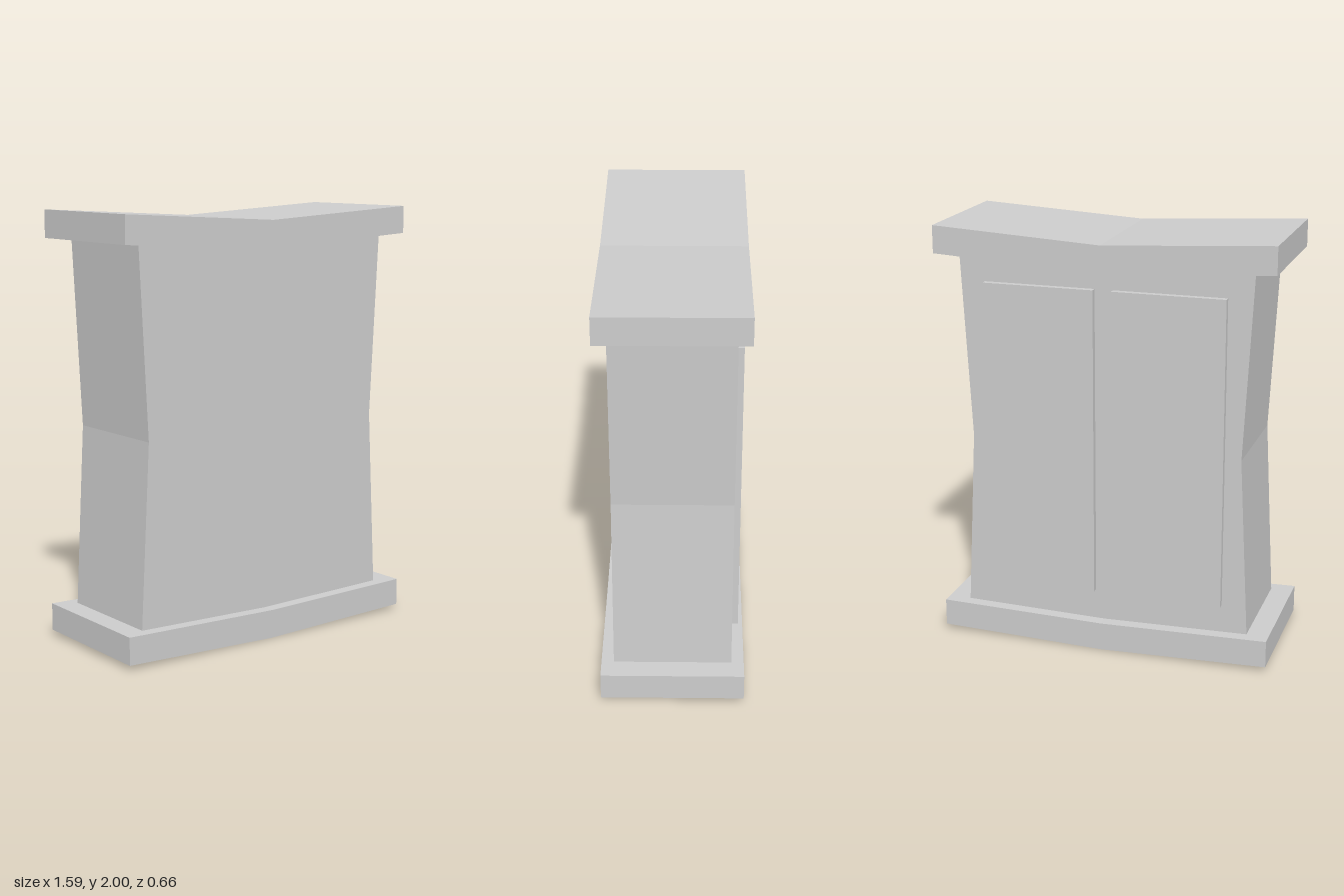
import * as THREE from 'three';

const material = new THREE.MeshStandardMaterial({ color: 0xcccccc, flatShading: true });

// Extrudes an outline of [x, y] points, centred on z = 0
function slab(name, points, depth) {
  const shape = new THREE.Shape(points.map(([x, y]) => new THREE.Vector2(x, y)));
  const geometry = new THREE.ExtrudeGeometry(shape, { depth, bevelEnabled: false });
  geometry.translate(0, 0, -depth / 2);
  const mesh = new THREE.Mesh(geometry, material);
  mesh.name = name;
  return mesh;
}

// Board bent down at its middle: heights at the ends and at the centre
function bentBoard(name, halfWidth, depth, end, middle) {
  return slab(name, [
    [-halfWidth, end.bottom], [0, middle.bottom], [halfWidth, end.bottom],
    [halfWidth, end.top], [0, middle.top], [-halfWidth, end.top],
  ], depth);
}

export function createModel() {
  const model = new THREE.Group();
  model.name = 'cabinet';

  // Top and base boards
  model.add(bentBoard('topBoard', 0.797, 0.664, { bottom: 1.871, top: 2 }, { bottom: 1.825, top: 1.955 }));
  model.add(bentBoard('baseBoard', 0.797, 0.664, { bottom: 0.024, top: 0.153 }, { bottom: 0, top: 0.135 }));

  // Body with a pinched waist, its ends following the boards
  model.add(slab('body', [
    [-0.692, 0.147], [0, 0.13], [0.692, 0.147], [0.647, 1],
    [0.692, 1.868], [0, 1.83], [-0.692, 1.868], [-0.647, 1],
  ], 0.548));

  // Pair of raised doors on the back
  for (const side of [-1, 1]) {
    const door = new THREE.Mesh(new THREE.BoxGeometry(0.527, 1.46, 0.05), material);
    door.name = side > 0 ? 'leftDoor' : 'rightDoor';
    door.position.set(side * 0.307, 1.014, -0.279);
    model.add(door);
  }

  return model;
}
